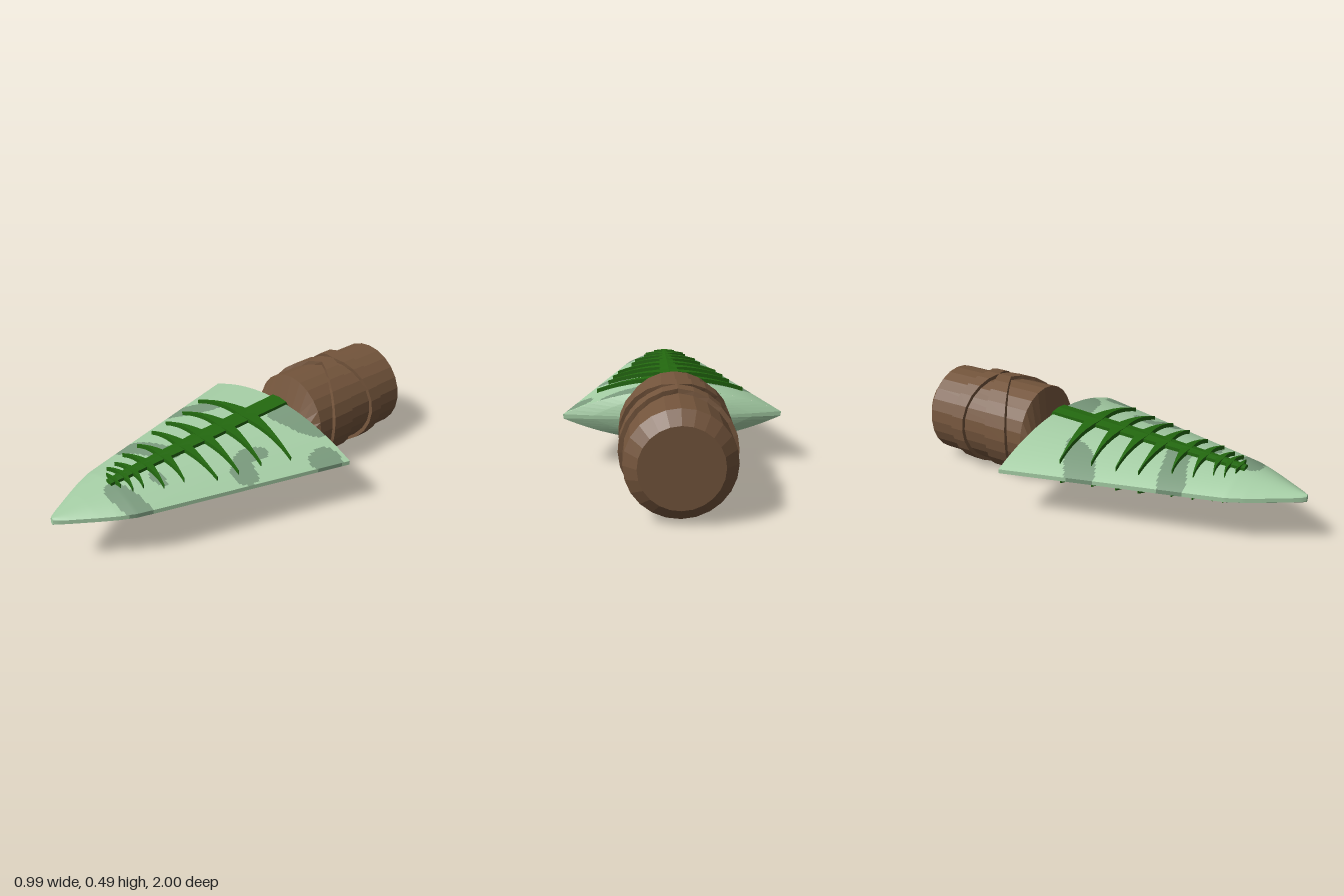
import * as THREE from 'three';

const mat = (name, color) => {
  const m = new THREE.MeshStandardMaterial({ color });
  m.name = name;
  return m;
};

// Piecewise linear lookup in [position, value] pairs
function lerpTable(table, t) {
  for (let i = 1; i < table.length; i++) {
    const [a, va] = table[i - 1], [b, vb] = table[i];
    if (t <= b) return va + (vb - va) * Math.max(0, (t - a) / (b - a));
  }
  return table[table.length - 1][1];
}

// Flat shaded solid through a list of rings; always wound outwards
function loft(rings, closed = false) {
  const n = rings[0].length, tris = [];
  const last = closed ? rings.length : rings.length - 1;
  for (let i = 0; i < last; i++) {
    const A = rings[i], B = rings[(i + 1) % rings.length];
    for (let j = 0; j < n; j++) {
      const k = (j + 1) % n;
      tris.push([A[j], A[k], B[k]], [A[j], B[k], B[j]]);
    }
  }
  if (!closed) {
    const cap = (ring, flip) => {
      const c = [0, 1, 2].map(a => ring.reduce((s, p) => s + p[a], 0) / n);
      ring.forEach((p, j) => {
        const q = ring[(j + 1) % n];
        tris.push(flip ? [c, q, p] : [c, p, q]);
      });
    };
    cap(rings[0], true);
    cap(rings[rings.length - 1], false);
  }
  let volume = 0;
  for (const [a, b, c] of tris) {
    volume += a[0] * (b[1] * c[2] - b[2] * c[1]) + a[1] * (b[2] * c[0] - b[0] * c[2]) + a[2] * (b[0] * c[1] - b[1] * c[0]);
  }
  if (volume < 0) tris.forEach(t => t.reverse());
  const g = new THREE.BufferGeometry();
  g.setAttribute('position', new THREE.Float32BufferAttribute(tris.flat(2), 3));
  g.computeVertexNormals();
  return g;
}

// Blade outline, half thickness and lens surface height
const WIDTH = [[-0.3, 0.495], [0.62, 0.225], [0.7, 0.2], [0.77, 0.165], [0.84, 0.122], [0.95, 0.05], [0.985, 0.025], [1, 0.01]];
const THICK = [[-0.3, 0.11], [0.7, 0.055], [0.85, 0.033], [1, 0.008]];
const RIM = 0.01;
const halfWidth = z => lerpTable(WIDTH, z);
const surface = (x, z) => {
  const u = Math.min(1, Math.abs(x) / halfWidth(z));
  return Math.min(RIM, halfWidth(z)) + lerpTable(THICK, z) * (1 - u * u);
};

// Darker blotches as smooth closed outlines in x, z
const BLOTCHES = [
  [[0.06, -0.32], [0.33, -0.32], [0.31, -0.25], [0.2, -0.19], [0.05, -0.17]],
  [[0.38, -0.25], [0.44, -0.28], [0.5, -0.24], [0.42, -0.12], [0.37, -0.16]],
  [[0.24, 0], [0.28, 0.03], [0.26, 0.1], [0.35, 0.14], [0.33, 0.22], [0.26, 0.23], [0.19, 0.15], [0.18, 0.07]],
  [[-0.4, 0.13], [-0.42, 0.03], [-0.29, -0.07], [-0.18, -0.11], [-0.2, 0], [-0.29, 0.1]],
  [[-0.25, 0.52], [-0.3, 0.43], [-0.12, 0.36], [0.03, 0.34], [0.03, 0.44], [-0.1, 0.47]],
  [[0, 0.7], [0.07, 0.66], [0.23, 0.64], [0.19, 0.73], [0.02, 0.75]],
  [[0.05, 0.51], [0.1, 0.49], [0.16, 0.51], [0.13, 0.54], [0.06, 0.54]],
].map(pts => new THREE.CatmullRomCurve3(pts.map(([x, z]) => new THREE.Vector3(x, 0, z)), true).getPoints(48));

const isDark = (x, z) => BLOTCHES.some(poly => {
  let inside = false;
  for (let i = 0, j = poly.length - 1; i < poly.length; j = i++) {
    const a = poly[i], b = poly[j];
    if ((a.z > z) !== (b.z > z) && x < (b.x - a.x) * (z - a.z) / (b.z - a.z) + a.x) inside = !inside;
  }
  return inside;
});

// Grid surface whose cells are sorted into light and dark groups
function grid(rows, cols, point, flip) {
  const pos = [], light = [], dark = [];
  for (let i = 0; i <= rows; i++) for (let j = 0; j <= cols; j++) pos.push(...point(i / rows, j / cols));
  for (let i = 0; i < rows; i++) {
    for (let j = 0; j < cols; j++) {
      const a = i * (cols + 1) + j, b = a + 1, c = a + cols + 1, d = c + 1;
      const x = (pos[a * 3] + pos[d * 3]) / 2, z = (pos[a * 3 + 2] + pos[d * 3 + 2]) / 2;
      (isDark(x, z) ? dark : light).push(...(flip ? [a, d, c, a, b, d] : [a, c, d, a, d, b]));
    }
  }
  const g = new THREE.BufferGeometry();
  g.setAttribute('position', new THREE.Float32BufferAttribute(pos, 3));
  g.setIndex([...light, ...dark]);
  g.addGroup(0, light.length, 0);
  g.addGroup(light.length, dark.length, 1);
  g.computeVertexNormals();
  return g;
}

export function createModel() {
  const paleGreen = mat('pale green', 0xa6cfa6);
  const greyGreen = mat('grey green', 0x7b9c7e);
  const leafGreen = mat('leaf green', 0x23690f);
  const brown = mat('wood brown', 0x74553c);
  const model = new THREE.Group();
  model.name = 'leafBlade';
  const body = new THREE.Group();
  body.name = 'body';
  body.position.y = 0.243;
  model.add(body);
  const add = (name, geometry, material) => {
    const m = new THREE.Mesh(geometry, material);
    m.name = name;
    body.add(m);
  };

  // Blade: two lens faces and the narrow rims
  const zAt = t => -0.3 + 1.3 * t;
  for (const s of [1, -1]) {
    add(s > 0 ? 'bladeTop' : 'bladeBottom', grid(130, 72, (t, u) => {
      const z = zAt(t), x = (2 * u - 1) * halfWidth(z);
      return [x, s * surface(x, z), z];
    }, s < 0), [paleGreen, greyGreen]);
    add(s > 0 ? 'leftRim' : 'rightRim', grid(130, 1, (t, u) => {
      const z = zAt(t), w = halfWidth(z);
      return [s * w, (1 - 2 * u) * Math.min(RIM, w), z];
    }, s < 0), [paleGreen, greyGreen]);
  }

  // Rounded shoulder closing the rear of the blade, and the blunt tip
  const section = (z, sx, sy, zOut) => {
    const ring = [];
    for (const s of [1, -1]) for (let j = 0; j <= 24; j++) {
      const x = s * (2 * j / 24 - 1) * halfWidth(z);
      ring.push([x * sx, s * surface(x, z) * sy, zOut]);
    }
    return ring;
  };
  add('bladeShoulder', loft([section(-0.3, 1, 1, -0.3), section(-0.3, 0.72, 0.82, -0.32), section(-0.3, 0.42, 0.62, -0.338)]), paleGreen);
  add('bladeTip', loft([section(1, 1, 1, 0.995), section(1, 1, 1, 1)]), paleGreen);

  // Midrib and side veins on both faces
  const RIDGE = [[-0.338, 0.03, 0.085], [-0.3, 0.05, 0.14], [0.22, 0.042, 0.113], [0.4, 0.034, 0.103], [0.62, 0.026, 0.09], [0.71, 0.02, 0.083]];
  // root z, tip z, tip x, half thickness at the root
  const VEINS = [
    [-0.085, -0.056, 0.35, 0.034], [0.055, 0.083, 0.3, 0.03], [0.185, 0.2, 0.28, 0.028],
    [0.3, 0.303, 0.255, 0.025], [0.415, 0.435, 0.185, 0.022], [0.51, 0.53, 0.165, 0.019],
    [0.585, 0.605, 0.115, 0.015], [0.635, 0.653, 0.105, 0.012], [0.685, 0.685, 0.057, 0.009],
  ];
  for (const s of [1, -1]) {
    const side = s > 0 ? 'top' : 'bottom';
    add(side + 'Midrib', loft(RIDGE.map(([z, w, y]) => [
      [-w, s * (y - 0.06), z], [-w, s * (y - 0.006), z], [0, s * y, z], [w, s * (y - 0.006), z], [w, s * (y - 0.06), z],
    ])), leafGreen);
    VEINS.forEach(([z0, z1, tip, thick], i) => {
      for (const m of [1, -1]) {
        const rings = [];
        for (let k = 0; k <= 6; k++) {
          const t = k / 6, x = tip * t, z = z0 + (z1 - z0) * t * t;
          const h = 0.002 + thick * Math.pow(1 - t, 1.5);
          const lo = surface(x, z) - 0.012, hi = surface(x, z) + 0.02;
          rings.push([[m * x, s * lo, z - h], [m * x, s * hi, z - h], [m * x, s * hi, z + h], [m * x, s * lo, z + h]]);
        }
        add(side + (m > 0 ? 'Left' : 'Right') + 'Vein' + (i + 1), loft(rings), leafGreen);
      }
    });
  }

  // Handle: round grip, chamfered at the rear, flattening into the blade
  const SIDES = 24;
  const ellipse = (z, rx, ry) => Array.from({ length: SIDES }, (_, j) => {
    const a = j / SIDES * Math.PI * 2;
    return [rx * Math.cos(a), ry * Math.sin(a), z];
  });
  add('handle', loft([
    ellipse(-1, 0.17, 0.17), ellipse(-0.95, 0.224, 0.224), ellipse(-0.38, 0.224, 0.224), ellipse(-0.335, 0.205, 0.08),
  ]), brown);

  // Two raised wraps bowing away from each other at the sides
  const wrap = (topA, topB, sideA, sideB) => loft(Array.from({ length: SIDES }, (_, j) => {
    const a = j / SIDES * Math.PI * 2, c = Math.abs(Math.cos(a));
    const zA = topA + (sideA - topA) * c, zB = topB + (sideB - topB) * c;
    return [[0.215, zA], [0.243, zA], [0.243, zB], [0.215, zB]].map(([r, z]) => [r * Math.cos(a), r * Math.sin(a), z]);
  }), true);
  add('rearWrap', wrap(-0.74, -0.667, -0.8, -0.73), brown);
  add('frontWrap', wrap(-0.667, -0.59, -0.585, -0.46), brown);

  return model;
}
